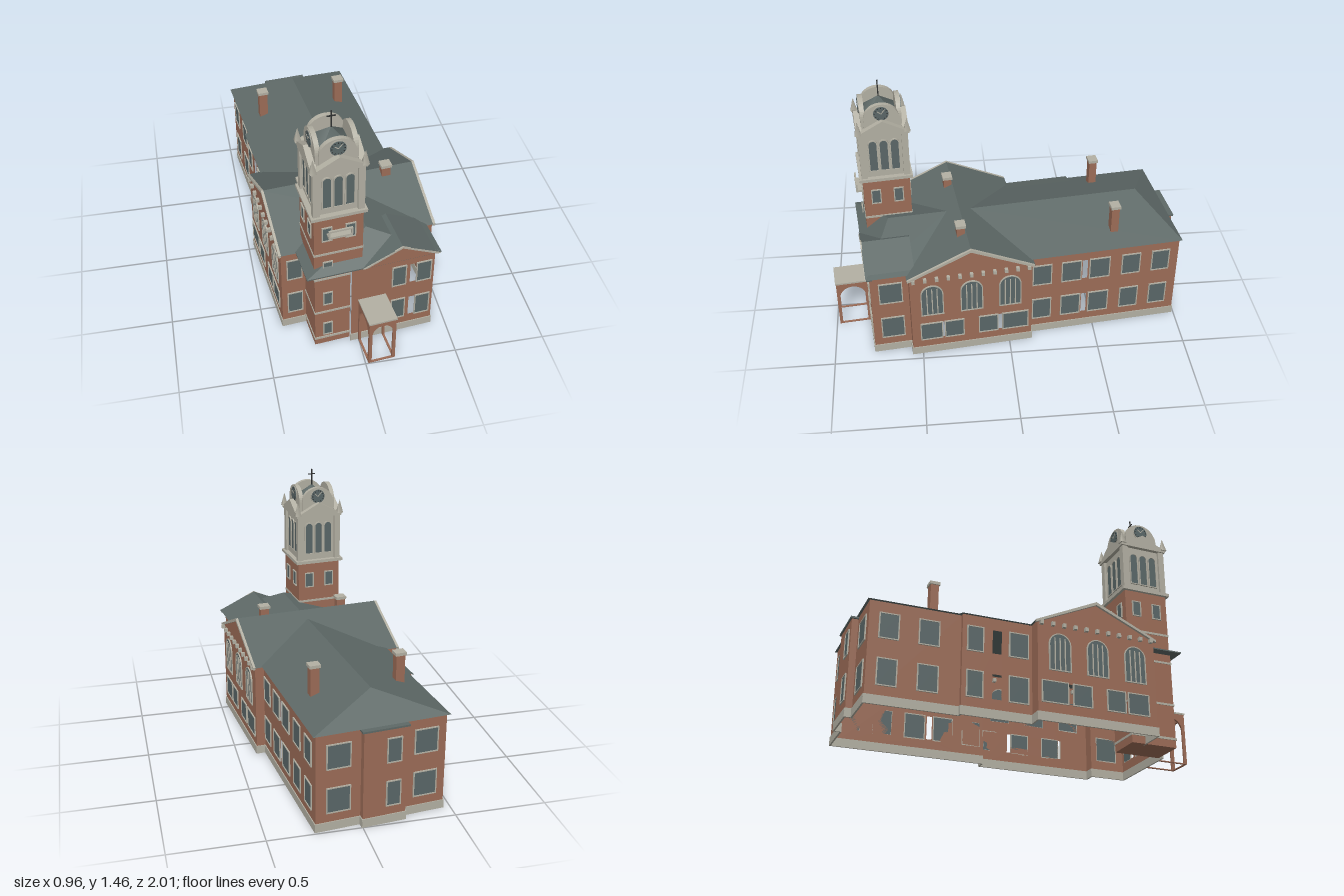
import * as THREE from 'three';

const mat = (name, color, side = THREE.DoubleSide) => {
  const m = new THREE.MeshStandardMaterial({ color, side });
  m.name = name;
  return m;
};

export function createModel() {
  const brick = mat('brick', 0x9c6c57), slate = mat('slate', 0x5e6967), stone = mat('stone', 0xb3b0a3);
  const glass = mat('glass', 0x5a6768), iron = mat('iron', 0x2e3030);
  const model = new THREE.Group();
  model.name = 'courthouse';
  const site = new THREE.Group();
  site.name = 'building';
  site.rotation.y = 0.105;
  model.add(site);

  const add = (parent, name, geo, m, x = 0, y = 0, z = 0) => {
    const mesh = new THREE.Mesh(geo, m);
    mesh.name = name;
    mesh.position.set(x, y, z);
    parent.add(mesh);
    return mesh;
  };
  // box given by its x, y and z ranges
  const box = (parent, name, m, x0, x1, y0, y1, z0, z1) => add(parent, name,
    new THREE.BoxGeometry(x1 - x0, y1 - y0, z1 - z0), m, (x0 + x1) / 2, (y0 + y1) / 2, (z0 + z1) / 2);
  const extrude = (shape, depth) => new THREE.ExtrudeGeometry(shape, { depth, bevelEnabled: false, curveSegments: 10 });
  // flat polygons, each a list of corners
  const faces = (parent, name, m, polys) => {
    const pos = [];
    for (const p of polys) for (let i = 1; i < p.length - 1; i++) pos.push(...p[0], ...p[i], ...p[i + 1]);
    const geo = new THREE.BufferGeometry();
    geo.setAttribute('position', new THREE.Float32BufferAttribute(pos, 3));
    geo.computeVertexNormals();
    return add(parent, name, geo, m);
  };
  const polyShape = pts => new THREE.Shape(pts.map(p => new THREE.Vector2(...p)));
  // rectangular or round-headed outline centred on x
  const outline = (path, x, y0, y1, w, arch) => {
    const r = w / 2;
    path.moveTo(x - r, y0).lineTo(x + r, y0);
    if (arch) path.lineTo(x + r, y1 - r).absarc(x, y1 - r, r, 0, Math.PI, false);
    else path.lineTo(x + r, y1).lineTo(x - r, y1);
    path.lineTo(x - r, y0);
    return path;
  };
  const windowAt = (parent, x, y0, y1, w, arch, bars = 0) => {
    const frame = outline(new THREE.Shape(), x, y0 - 0.006, y1 + 0.006, w + 0.012, arch);
    frame.holes.push(outline(new THREE.Path(), x, y0, y1, w, arch));
    add(parent, 'windowFrame', extrude(frame, 0.007), stone);
    add(parent, 'windowPane', extrude(outline(new THREE.Shape(), x, y0, y1, w, arch), 0.003), glass);
    for (let i = 1; i <= bars; i++) {
      const bx = x - w / 2 + (w * i) / (bars + 1);
      box(parent, 'windowBar', stone, bx - 0.003, bx + 0.003, y0, y1 - 0.02, 0.003, 0.007);
    }
  };

  // wall from a to b (left to right seen from outside); openings use the building's own coordinate
  const EAVE = 0.55;
  const wall = (name, [ax, az], [bx, bz], { windows = [], gaps = [], apex = 0, top = EAVE } = {}) => {
    const g = new THREE.Group();
    g.name = name;
    const dx = bx - ax, dz = bz - az, len = Math.hypot(dx, dz);
    g.position.set(ax, 0, az);
    g.rotation.y = Math.atan2(-dz, dx);
    const u = c => Math.abs(c - (Math.abs(dx) > Math.abs(dz) ? ax : az));
    const pts = [[0, 0], [len, 0], [len, top]];
    if (apex) pts.push([len / 2, apex]);
    pts.push([0, top]);
    const shape = polyShape(pts);
    for (const [c, y0, y1, w] of gaps) shape.holes.push(outline(new THREE.Path(), u(c), y0, y1, w));
    add(g, name + 'Brick', new THREE.ShapeGeometry(shape), brick);
    box(g, 'foundation', stone, -0.004, len + 0.004, 0, 0.048, -0.004, 0.005);
    for (const [c, ...rest] of windows) windowAt(g, u(c), ...rest);
    site.add(g);
    return g;
  };
  const ROWS = [[0.105, 0.24], [0.355, 0.485]];
  const twoRows = (list, gap = 0) => ROWS.flatMap(([y0, y1]) => list.map(([c, w]) => [c, y0, y1, w - gap]));

  // rear wing
  const XR = 0.347, XL = -0.36, ZB = -0.955;
  const wingWindows = twoRows([[-0.155, 0.1], [-0.325, 0.105], [-0.49, 0.11], [-0.675, 0.1], [-0.85, 0.095]]);
  const wingGaps = twoRows([[-0.405, 0.03]]);
  wall('rearWingLeftWall', [XR, -0.085], [XR, ZB], { windows: wingWindows, gaps: wingGaps });
  wall('rearWingRightWall', [XL, ZB], [XL, -0.47], { windows: twoRows([[-0.85, 0.095], [-0.64, 0.1]]) });
  wall('rightBayEnd', [XL, -0.47], [-0.382, -0.47]).rotation.y = Math.PI;
  wall('rightBayWall', [-0.382, -0.47], [-0.382, -0.085],
    { windows: twoRows([[-0.4, 0.08], [-0.16, 0.1]]), gaps: twoRows([[-0.28, 0.05]]) });
  wall('backWallLeft', [XR, ZB], [0.105, ZB], { windows: twoRows([[0.225, 0.12]]) });
  wall('backWallRight', [-0.13, ZB], [XL, ZB], { windows: twoRows([[-0.25, 0.12]]) });
  wall('backBayWall', [0.105, -0.99], [-0.13, -0.99], { windows: twoRows([[-0.06, 0.07]]) });
  wall('backBayLeft', [0.105, ZB], [0.105, -0.99]);
  wall('backBayRight', [-0.13, -0.99], [-0.13, ZB]);

  // cross wing with gabled ends
  const TL = 0.398, TR = -0.458, TF = 0.6, TB = -0.085, TM = (TF + TB) / 2;
  const arches = [0.48, 0.258, 0.04].map(c => [c, 0.285, 0.485, 0.115, true, 3]);
  const low = [[0.49, 0.115], [0.36, 0.1], [0.165, 0.1], [0.01, 0.14]].map(([c, w]) => [c, 0.105, 0.215, w]);
  const gable = { windows: [...arches, ...low], gaps: [[0.422, 0.105, 0.215, 0.016], [0.098, 0.105, 0.215, 0.024]], apex: 0.7 };
  wall('leftGableWall', [TL, TF], [TL, TB], gable);
  wall('rightGableWall', [TR, TB], [TR, TF], gable);
  wall('crossWingFrontRight', [TR, TF], [-0.3, TF], { windows: twoRows([[-0.385, 0.075]]) });
  wall('crossWingFrontLeft', [0.334, TF], [TL, TF]);
  wall('crossWingBackLeft', [TL, TB], [XR, TB]);
  wall('crossWingBackRight', [-0.382, TB], [TR, TB]);

  // front wing
  wall('frontWall', [-0.13, 0.81], [0.334, 0.81],
    { windows: twoRows([[0.135, 0.07], [0.275, 0.075]]), gaps: twoRows([[0.215, 0.035]]) });
  wall('frontWingSide', [0.334, 0.81], [0.334, TF], { windows: twoRows([[0.7, 0.12]]) });

  // roofs
  const RX = -0.007, EL = 0.362, ER = -0.377, RY = 0.68;
  const hip = (name, zEave, zHip, zIn) => faces(site, name, slate, [
    [[EL, EAVE, zEave], [EL, EAVE, 0.25], [RX, RY, zIn], [RX, RY, zHip]],
    [[ER, EAVE, zEave], [RX, RY, zHip], [RX, RY, zIn], [ER, EAVE, 0.25]],
    [[EL, EAVE, zEave], [RX, RY, zHip], [ER, EAVE, zEave]],
  ]);
  hip('rearHipRoof', -0.968, -0.79, 0.19);
  hip('frontHipRoof', 0.826, 0.66, 0.32);
  faces(site, 'rightBayRoof', slate, [[[-0.397, EAVE, -0.475], [-0.397, EAVE, -0.085], [-0.3, 0.582, -0.085], [-0.3, 0.582, -0.475]]]);
  box(site, 'backBayRoof', slate, -0.14, 0.115, 0.54, EAVE, -0.998, -0.95);
  faces(site, 'crossRoof', slate, [-0.1, 0.614].map(z =>
    [[0.412, 0.546, z], [-0.47, 0.546, z], [-0.47, 0.712, TM], [0.412, 0.712, TM]]));
  box(site, 'frontEave', slate, ER, EL, 0.543, EAVE, 0.795, 0.826);
  box(site, 'towerSideEave', slate, ER, -0.3, 0.543, EAVE, 0.6, 0.826);
  faces(site, 'towerCricket', slate, [
    [[-0.07, 0.57, 0.8], [0.1, 0.57, 0.76], [0.03, 0.655, 0.66], [-0.07, 0.655, 0.66]],
    [[0.1, 0.57, 0.76], [0.13, 0.6, 0.66], [0.03, 0.655, 0.66]],
  ]);

  // raking trim and bracket blocks on the side gables
  for (const [x, s] of [[TL, 1], [TR, -1]]) {
    const trim = polyShape([[-0.355, 0.535], [0, 0.695], [0.355, 0.535], [0.355, 0.549], [0, 0.713], [-0.355, 0.549]]);
    const t = add(site, 'gableTrim', extrude(trim, 0.014), stone, s > 0 ? x : x - 0.014, 0, TM);
    t.rotation.y = Math.PI / 2;
    for (let i = 0; i < 11; i++) {
      const z = TB + 0.02 + i * 0.0645;
      box(site, 'bracket', stone, x - 0.02, x + 0.02, 0.527, 0.549, z - 0.009, z + 0.009);
    }
  }

  // front pediment
  const PX = 0.14, PW = 0.195;
  faces(site, 'pedimentRoof', slate, [-1, 1].map(s =>
    [[PX, 0.647, 0.83], [PX, 0.647, 0.56], [PX + s * 0.215, EAVE, 0.56], [PX + s * 0.215, EAVE, 0.83]]));
  add(site, 'pediment', extrude(polyShape([[-PW, 0.545], [PW, 0.545], [0, 0.638]]), 0.012), brick, PX, 0, 0.815);
  add(site, 'pedimentTrim', extrude(polyShape([[-0.215, 0.546], [-0.195, 0.546], [0, 0.637], [0.195, 0.546],
    [0.215, 0.546], [0, 0.648]]), 0.008), stone, PX, 0, 0.825);

  // chimneys
  for (const [x, z, y] of [[-0.249, -0.594, 0.58], [0.229, -0.594, 0.58], [-0.246, 0.286, 0.6], [0.231, 0.286, 0.6]]) {
    box(site, 'chimney', brick, x - 0.025, x + 0.025, y, 0.75, z - 0.022, z + 0.022);
    box(site, 'chimneyCap', stone, x - 0.031, x + 0.031, 0.746, 0.763, z - 0.028, z + 0.028);
  }

  // porch with arched openings on three sides
  const porch = (name, w, x, z, ry) => {
    const s = polyShape([[-w / 2, 0], [w / 2, 0], [w / 2, 0.298], [-w / 2, 0.298]]);
    s.holes.push(outline(new THREE.Path(), 0, 0.005, 0.27, w - 0.035, true));
    add(site, name, extrude(s, 0.012), brick, x, 0, z).rotation.y = ry;
  };
  porch('porchFront', 0.15, -0.014, 0.982, 0);
  porch('porchLeftSide', 0.184, 0.048, 0.902, Math.PI / 2);
  porch('porchRightSide', 0.184, -0.089, 0.902, Math.PI / 2);
  box(site, 'porchRoof', stone, -0.092, 0.064, 0.296, 0.306, 0.81, 0.998);

  // clock tower
  const tower = new THREE.Group();
  tower.name = 'tower';
  tower.position.set(-0.194, 0, 0.648);
  site.add(tower);
  const square = (name, m, half, y0, y1) => box(tower, name, m, -half, half, y0, y1, -half, half);
  box(tower, 'towerBase', brick, -0.131, 0.064, 0, 0.56, -0.131, 0.137);
  square('towerShaft', brick, 0.131, 0.54, 0.91);
  box(tower, 'towerFoundation', stone, -0.135, 0.068, 0.042, 0.055, -0.134, 0.142);
  for (const y of [0.245, 0.492]) box(tower, 'towerBand', stone, -0.134, 0.067, y - 0.006, y + 0.006, -0.134, 0.141);
  square('towerBandUpper', stone, 0.134, 0.655, 0.668);
  square('belfrySill', stone, 0.148, 0.908, 0.926);
  square('belfry', stone, 0.12, 0.926, 1.2);
  square('belfryCornice', stone, 0.143, 1.198, 1.215);
  const lowFace = new THREE.Group();
  lowFace.name = 'towerBaseWindows';
  lowFace.position.z = 0.137;
  tower.add(lowFace);
  for (const [y0, y1] of [[0.075, 0.155], [0.305, 0.385], [0.54, 0.61]]) windowAt(lowFace, -0.06, y0, y1, 0.042);
  box(tower, 'balcony', stone, -0.064, 0.064, 0.793, 0.806, 0.13, 0.17);
  box(tower, 'balconyRail', stone, -0.064, 0.064, 0.835, 0.845, 0.16, 0.17);
  for (const s of [-1, 1]) box(tower, 'balconyPost', stone, s * 0.06 - 0.004, s * 0.06 + 0.004, 0.8, 0.84, 0.16, 0.17);

  for (let k = 0; k < 4; k++) {
    const side = new THREE.Group();
    side.name = 'towerSide';
    side.rotation.y = (k * Math.PI) / 2;
    tower.add(side);
    const shaft = new THREE.Group(), bell = new THREE.Group();
    shaft.name = 'shaftWindows';
    bell.name = 'belfryArches';
    shaft.position.z = 0.131;
    bell.position.z = 0.12;
    side.add(shaft, bell);
    for (const s of [-1, 1]) windowAt(shaft, s * 0.063, 0.758, 0.84, 0.044);
    for (const i of [-1, 0, 1]) windowAt(bell, i * 0.06, 0.967, 1.155, 0.042, true);
    box(side, 'cornerPier', stone, -0.135, -0.1, 0.926, 1.2, 0.1, 0.135);
    const spike = add(side, 'cornerSpike', new THREE.ConeGeometry(0.024, 0.08, 4), stone, -0.133, 1.252, 0.133);
    spike.rotation.y = Math.PI / 4;
    add(side, 'belfryPediment', extrude(polyShape([[-0.14, 1.21], [0.14, 1.21], [0, 1.285]]), 0.035), stone, 0, 0, 0.108);
    // arched clock gable
    const arch = new THREE.Shape();
    arch.moveTo(-0.096, 1.215).lineTo(0.096, 1.215).lineTo(0.096, 1.285);
    arch.absellipse(0, 1.285, 0.096, 0.086, 0, Math.PI, false);
    arch.lineTo(-0.096, 1.215);
    add(side, 'clockGable', extrude(arch, 0.025), stone, 0, 0, 0.086);
    const disc = (name, r, z, m) => {
      add(side, name, new THREE.CylinderGeometry(r, r, 0.006, 24), m, 0, 1.318, z).rotation.x = Math.PI / 2;
    };
    disc('clockRim', 0.046, 0.111, stone);
    disc('clockFace', 0.041, 0.114, glass);
    for (const [a, l] of [[0.9, 0.024], [-0.7, 0.034]]) {
      const hand = add(side, 'clockHand', new THREE.BoxGeometry(0.004, l, 0.002), stone,
        -Math.sin(a) * l / 2, 1.318 + Math.cos(a) * l / 2, 0.118);
      hand.rotation.z = a;
    }
    for (let i = 0; i < 12; i++) {
      const a = (i * Math.PI) / 6;
      add(side, 'hourMark', new THREE.BoxGeometry(0.004, 0.008, 0.002), iron,
        Math.sin(a) * 0.034, 1.318 + Math.cos(a) * 0.034, 0.117).rotation.z = -a;
    }
  }
  square('clockDrum', stone, 0.09, 1.21, 1.27);
  add(tower, 'towerRoof', new THREE.ConeGeometry(0.095 * Math.SQRT2, 0.1, 4).toNonIndexed(), slate, 0, 1.318, 0)
    .rotation.y = Math.PI / 4;
  box(tower, 'finial', iron, -0.003, 0.003, 1.34, 1.46, -0.003, 0.003);
  box(tower, 'finialArm', iron, -0.022, 0.022, 1.427, 1.432, -0.003, 0.003);

  return model;
}
